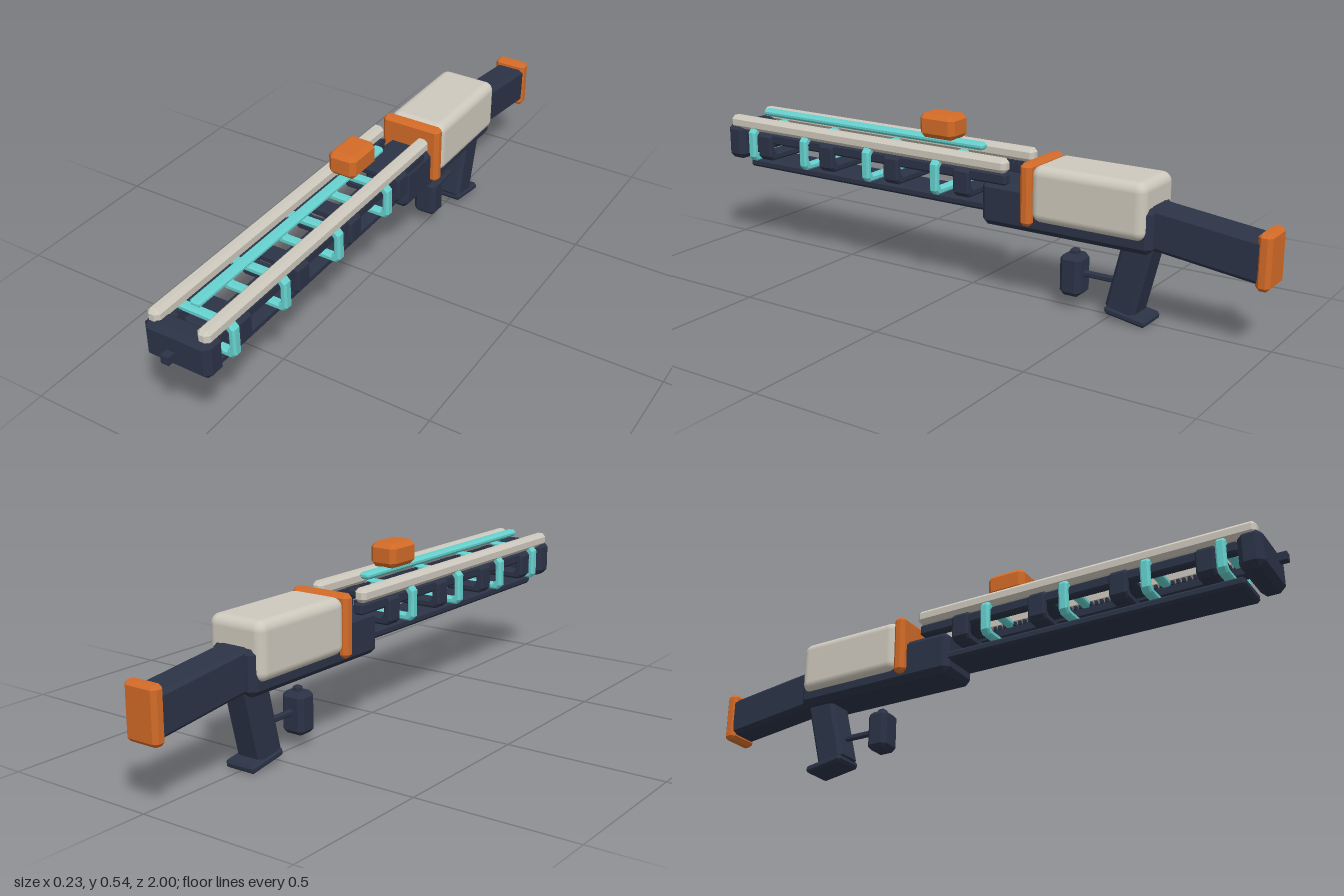
import * as THREE from 'three';
import { ConvexGeometry } from 'three/addons/geometries/ConvexGeometry.js';
import { RoundedBoxGeometry } from 'three/addons/geometries/RoundedBoxGeometry.js';

const mat = (name, color) => new THREE.MeshStandardMaterial({ name, color });

// Box with chamfered edges: three pairs of faces pulled in by b
function chamferBox(w, h, d, b) {
  const pts = [];
  for (const i of [-1, 1]) for (const j of [-1, 1]) for (const k of [-1, 1]) {
    const [x, y, z] = [w / 2, h / 2, d / 2];
    pts.push(new THREE.Vector3(i * x, j * (y - b), k * (z - b)));
    pts.push(new THREE.Vector3(i * (x - b), j * y, k * (z - b)));
    pts.push(new THREE.Vector3(i * (x - b), j * (y - b), k * z));
  }
  return new ConvexGeometry(pts);
}

// Rectangle outline with cut corners
function cutRect(path, x, y0, y1, c) {
  path.moveTo(-x + c, y0);
  path.lineTo(x - c, y0);
  path.lineTo(x, y0 + c);
  path.lineTo(x, y1 - c);
  path.lineTo(x - c, y1);
  path.lineTo(-x + c, y1);
  path.lineTo(-x, y1 - c);
  path.lineTo(-x, y0 + c);
  path.closePath();
  return path;
}

// Open frame around the barrel channel
function frameGeometry(x, y0, y1, depth, t) {
  const shape = cutRect(new THREE.Shape(), x, y0, y1, 0.015);
  shape.holes.push(cutRect(new THREE.Path(), x - t, y0 + t, y1 - t, 0.008));
  const bevel = 0.006;
  const geo = new THREE.ExtrudeGeometry(shape, {
    depth: depth - 2 * bevel, bevelThickness: bevel, bevelSize: bevel,
    bevelOffset: -bevel, bevelSegments: 1,
  });
  return geo.translate(0, 0, -depth / 2 + bevel);
}

export function createModel() {
  const model = new THREE.Group();
  model.name = 'railLauncher';
  const navy = mat('navy', 0x2b3346);
  const orange = mat('orange', 0xd36b28);
  const cream = mat('cream', 0xcec9bd);
  const teal = mat('teal', 0x66d2cf);

  const add = (name, geo, material, x = 0, y = 0, z = 0, rx = 0) => {
    const mesh = new THREE.Mesh(geo, material);
    mesh.name = name;
    mesh.position.set(x, y, z);
    mesh.rotation.x = rx;
    model.add(mesh);
    return mesh;
  };
  // Chamfered box given by its y and z ranges
  const block = (name, material, w, [y0, y1], [z0, z1], b, x = 0) =>
    add(name, chamferBox(w, y1 - y0, z1 - z0, b), material, x, (y0 + y1) / 2, (z0 + z1) / 2);

  // Muzzle
  block('muzzleBlock', navy, 0.216, [0.305, 0.425], [0.885, 0.96], 0.018);
  add('muzzleSight', new THREE.BoxGeometry(0.026, 0.026, 0.026), navy, 0, 0.365, 0.987);

  // Lower beam
  block('lowerBeam', navy, 0.136, [0.275, 0.305], [-0.12, 0.89], 0.008);

  // Twin rails with toothed racks underneath
  const toothGeo = new THREE.BoxGeometry(0.012, 0.012, 0.009);
  for (const s of [-1, 1]) {
    block('rail', cream, 0.042, [0.41, 0.455], [-0.18, 0.945], 0.012, s * 0.081);
    block('rack', navy, 0.034, [0.372, 0.408], [-0.175, 0.885], 0.006, s * 0.073);
    const teeth = new THREE.InstancedMesh(toothGeo, navy, 0);
    teeth.dispose();
    for (let i = 0; i < 58; i++) add('rackTooth', toothGeo, navy, s * 0.056, 0.408, -0.16 + i * 0.018);
  }

  // Alternating navy and teal frames
  const navyFrame = frameGeometry(0.103, 0.315, 0.412, 0.058, 0.026);
  const tealFrame = frameGeometry(0.113, 0.308, 0.422, 0.03, 0.022);
  for (const z of [0.79, 0.52, 0.25, -0.02]) add('navyFrame', navyFrame, navy, 0, 0, z);
  for (const z of [0.84, 0.61, 0.345, 0.075]) add('tealFrame', tealFrame, teal, 0, 0, z);

  // Energy rod and sight above the channel
  block('energyRod', teal, 0.036, [0.447, 0.47], [-0.045, 0.87], 0.008);
  block('sight', orange, 0.096, [0.468, 0.547], [0.047, 0.178], 0.016);

  // Receiver, collar and shell
  block('receiver', navy, 0.16, [0.235, 0.375], [-0.655, -0.078], 0.018);
  block('collar', orange, 0.206, [0.26, 0.455], [-0.27, -0.23], 0.012);
  add('shell', new RoundedBoxGeometry(0.198, 0.174, 0.375, 4, 0.03), cream, 0, 0.363, -0.453);

  // Stock sloping down to the butt pad
  add('stock', chamferBox(0.104, 0.128, 0.37, 0.012), navy, 0, 0.291, -0.795, -0.12);
  block('buttPad', orange, 0.114, [0.19, 0.357], [-1, -0.957], 0.012);

  // Raked grip with its foot plate
  add('grip', chamferBox(0.096, 0.25, 0.098, 0.012), navy, 0, 0.148, -0.572, -0.24);
  add('gripFoot', chamferBox(0.106, 0.026, 0.137, 0.008), navy, 0, 0.026, -0.567, -0.16);

  // Trigger block on its stem
  block('triggerBlock', navy, 0.08, [0.045, 0.175], [-0.406, -0.335], 0.014);
  block('triggerCap', navy, 0.026, [0.165, 0.19], [-0.385, -0.359], 0.005);
  block('triggerStem', navy, 0.018, [0.107, 0.125], [-0.54, -0.39], 0.004);

  return model;
}
